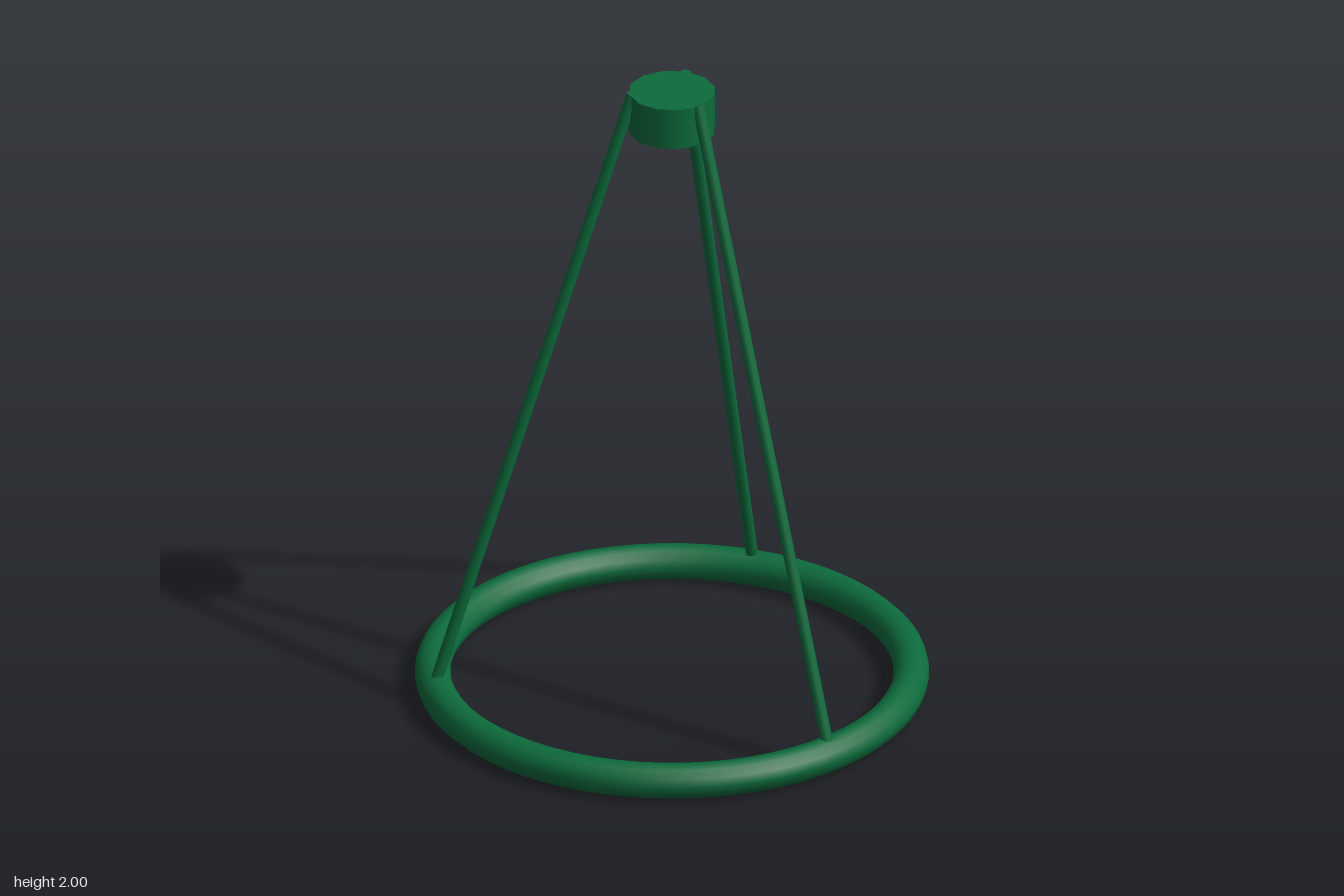
import * as THREE from 'three';

export function createModel() {
  const group = new THREE.Group();
  const green = new THREE.MeshStandardMaterial({ color: 0x0d6b3c });
  const add = (name, geometry) => {
    const mesh = new THREE.Mesh(geometry, green);
    mesh.name = name;
    group.add(mesh);
    return mesh;
  };

  // Round base ring lying on the ground
  const ring = add('baseRing', new THREE.TorusGeometry(0.712, 0.0535, 12, 64));
  ring.rotation.x = -Math.PI / 2;
  ring.position.y = 0.0535;

  // Twelve-sided cap, with a corner on each axis
  const cap = add('topCap', new THREE.CylinderGeometry(0.13, 0.13, 0.13, 12));
  cap.position.y = 1.93;

  // Three slanted legs joining the ring to the cap, one at the back
  const up = new THREE.Vector3(0, 1, 0);
  for (let i = 0; i < 3; i++) {
    const angle = -Math.PI / 2 + (i * Math.PI * 2) / 3;
    const at = (r, y) => new THREE.Vector3(Math.cos(angle) * r, y, Math.sin(angle) * r);
    const foot = at(0.722, 0.06);
    const top = at(0.119, 1.994);
    const span = top.clone().sub(foot);
    const leg = add(['backLeg', 'leftLeg', 'rightLeg'][i],
      new THREE.CylinderGeometry(0.018, 0.018, span.length(), 10));
    leg.position.copy(foot).add(top).multiplyScalar(0.5);
    leg.quaternion.setFromUnitVectors(up, span.normalize());
  }
  return group;
}
